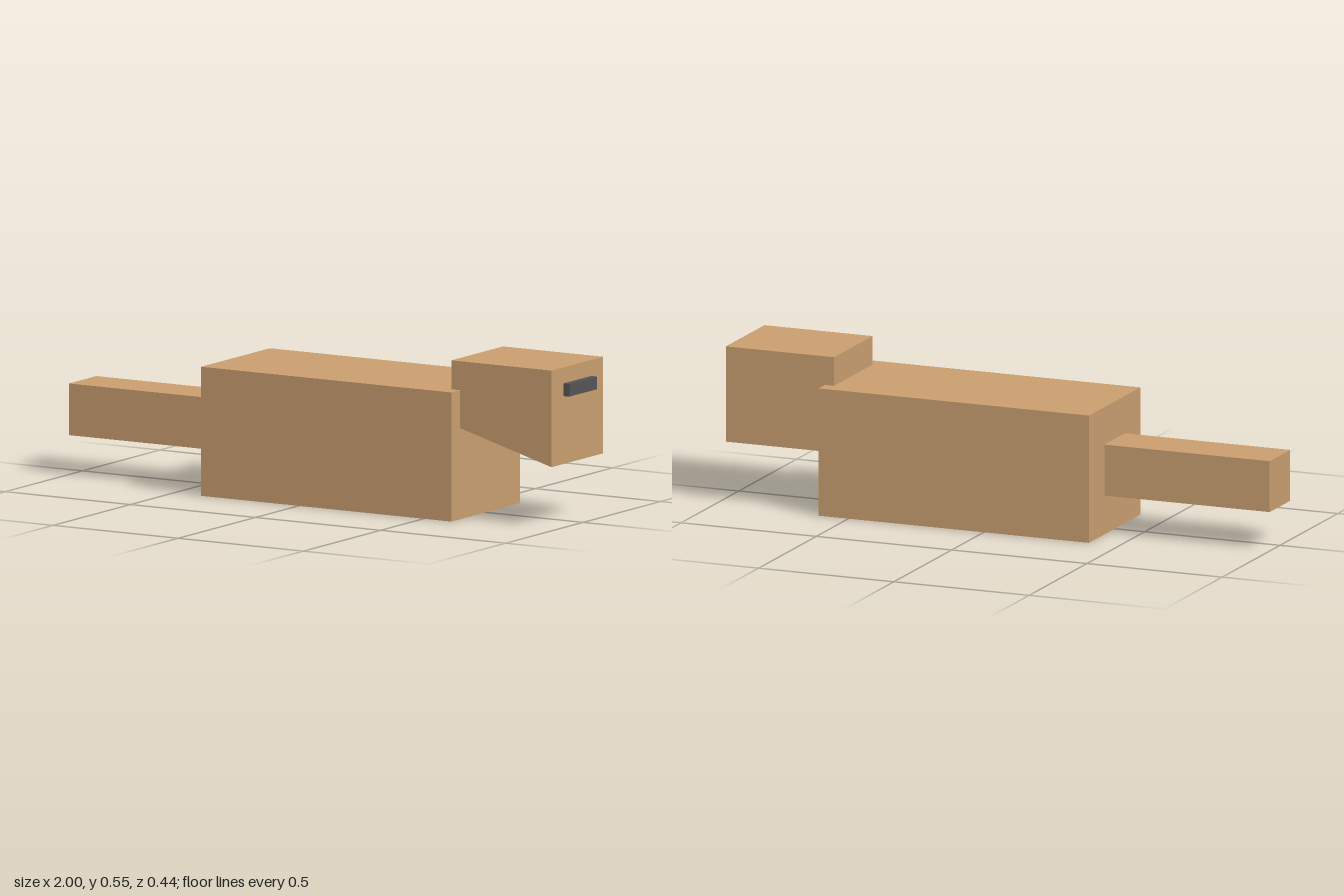
import * as THREE from 'three';

const tan = new THREE.MeshStandardMaterial({ color: 0xc99e70 });
tan.name = 'tan';
const charcoal = new THREE.MeshStandardMaterial({ color: 0x555555 });
charcoal.name = 'charcoal';

// Box given by its minimum and maximum corners
function block(name, material, min, max) {
  const size = max.map((v, i) => v - min[i]);
  const geometry = new THREE.BoxGeometry(...size);
  geometry.translate(...min.map((v, i) => v + size[i] / 2));
  const mesh = new THREE.Mesh(geometry, material);
  mesh.name = name;
  return mesh;
}

export function createModel() {
  const model = new THREE.Group();
  model.name = 'blockAnimal';

  const body = block('body', tan, [-0.389, 0, -0.222], [0.611, 0.445, 0.222]);
  const tail = block('tail', tan, [-1, 0.136, -0.089], [-0.389, 0.314, 0.089]);
  const nose = block('nose', charcoal, [0.975, 0.446, -0.089], [1, 0.49, 0.089]);

  // Head: the lower corner against the body on the +z side is raised
  const head = block('head', tan, [0.577, 0.212, -0.167], [0.977, 0.545, 0.167]);
  head.geometry = head.geometry.toNonIndexed();
  const p = head.geometry.attributes.position;
  for (let i = 0; i < p.count; i++) {
    if (p.getX(i) < 0.7 && p.getY(i) < 0.3 && p.getZ(i) > 0) p.setY(i, 0.324);
  }
  head.geometry.computeVertexNormals();

  model.add(body, tail, head, nose);
  return model;
}
